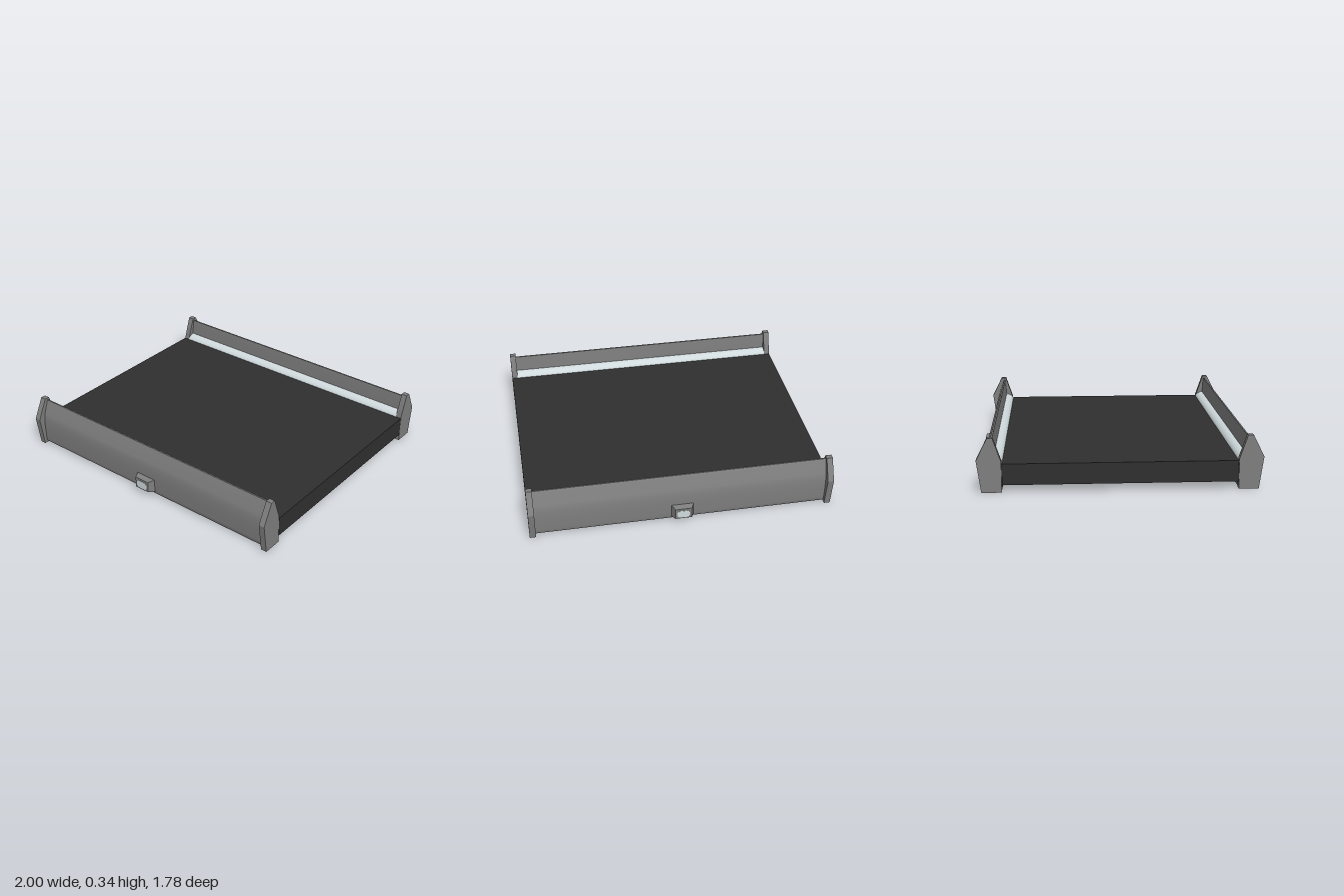
import * as THREE from 'three';
import { toCreasedNormals } from 'three/addons/utils/BufferGeometryUtils.js';

const mat = (name, color) => {
  const m = new THREE.MeshStandardMaterial({ color });
  m.name = name;
  return m;
};

// Extrude a (z, y) profile along x, centred on the given x
function alongX(shape, width, x = 0) {
  const g = new THREE.ExtrudeGeometry(shape, { depth: width, bevelEnabled: false, curveSegments: 10 });
  g.translate(0, 0, -width / 2);
  g.rotateY(-Math.PI / 2);
  g.translate(x, 0, 0);
  return toCreasedNormals(g, 0.45);
}

const polygon = (pts) => new THREE.Shape(pts.map(([a, b]) => new THREE.Vector2(a, b)));

export function createModel() {
  const grey = mat('housing grey', 0x7f7f7f);
  const black = mat('mat black', 0x2f2f2f);
  const pale = mat('pale lens', 0xd0dadd);
  const model = new THREE.Group();
  model.name = 'platform';

  const add = (parent, name, geometry, material) => {
    const m = new THREE.Mesh(geometry, material);
    m.name = name;
    parent.add(m);
    return m;
  };

  // Flat central slab
  add(model, 'slab', new THREE.BoxGeometry(2, 0.135, 1.47), black).position.y = 0.115;

  // Curved rail cross-section
  const rail = new THREE.Shape();
  rail.moveTo(0.735, 0.01);
  rail.lineTo(0.838, 0.01);
  rail.lineTo(0.843, 0.02);
  rail.bezierCurveTo(0.847, 0.09, 0.853, 0.19, 0.838, 0.235);
  rail.lineTo(0.803, 0.33);
  rail.lineTo(0.793, 0.33);
  rail.lineTo(0.785, 0.215);
  rail.lineTo(0.785, 0.18);
  rail.lineTo(0.735, 0.18);

  // Curved light strip along the rail's inner foot
  const strip = new THREE.Shape();
  strip.moveTo(0.733, 0.178);
  strip.lineTo(0.786, 0.178);
  strip.lineTo(0.786, 0.218);
  strip.quadraticCurveTo(0.745, 0.214, 0.733, 0.184);

  const cap = polygon([
    [0.737, 0], [0.863, 0], [0.892, 0.205], [0.822, 0.345], [0.788, 0.345], [0.737, 0.195],
  ]);

  // Tapered sensor housing: a box whose outer face is drawn in
  const sensor = new THREE.BoxGeometry(0.16, 0.1, 0.06);
  const p = sensor.attributes.position;
  for (let i = 0; i < p.count; i++) {
    if (p.getZ(i) > 0) {
      p.setX(i, p.getX(i) * 0.68);
      p.setY(i, p.getY(i) > 0 ? 0.042 : -0.034);
    }
  }
  sensor.computeVertexNormals();
  sensor.translate(0, 0.073, 0.86);

  // Lens with cut corners
  const lens = new THREE.ExtrudeGeometry(polygon([
    [-0.028, -0.027], [0.028, -0.027], [0.041, -0.014], [0.041, 0.014],
    [0.028, 0.027], [-0.028, 0.027], [-0.041, 0.014], [-0.041, -0.014],
  ]), { depth: 0.004, bevelEnabled: false });
  lens.translate(0, 0.074, 0.888);

  // The same rail assembly at front and back
  for (const side of ['front', 'back']) {
    const g = new THREE.Group();
    g.name = side + 'Rail';
    add(g, 'housing', alongX(rail, 1.93), grey);
    add(g, 'lightStrip', alongX(strip, 1.922), pale);
    for (const s of [-1, 1]) {
      add(g, s > 0 ? 'leftEndCap' : 'rightEndCap', alongX(cap, 0.04, s * 0.98), grey);
    }
    add(g, 'sensorHousing', sensor, grey);
    add(g, 'sensorLens', lens, pale);
    if (side === 'back') g.rotation.y = Math.PI;
    model.add(g);
  }
  return model;
}
